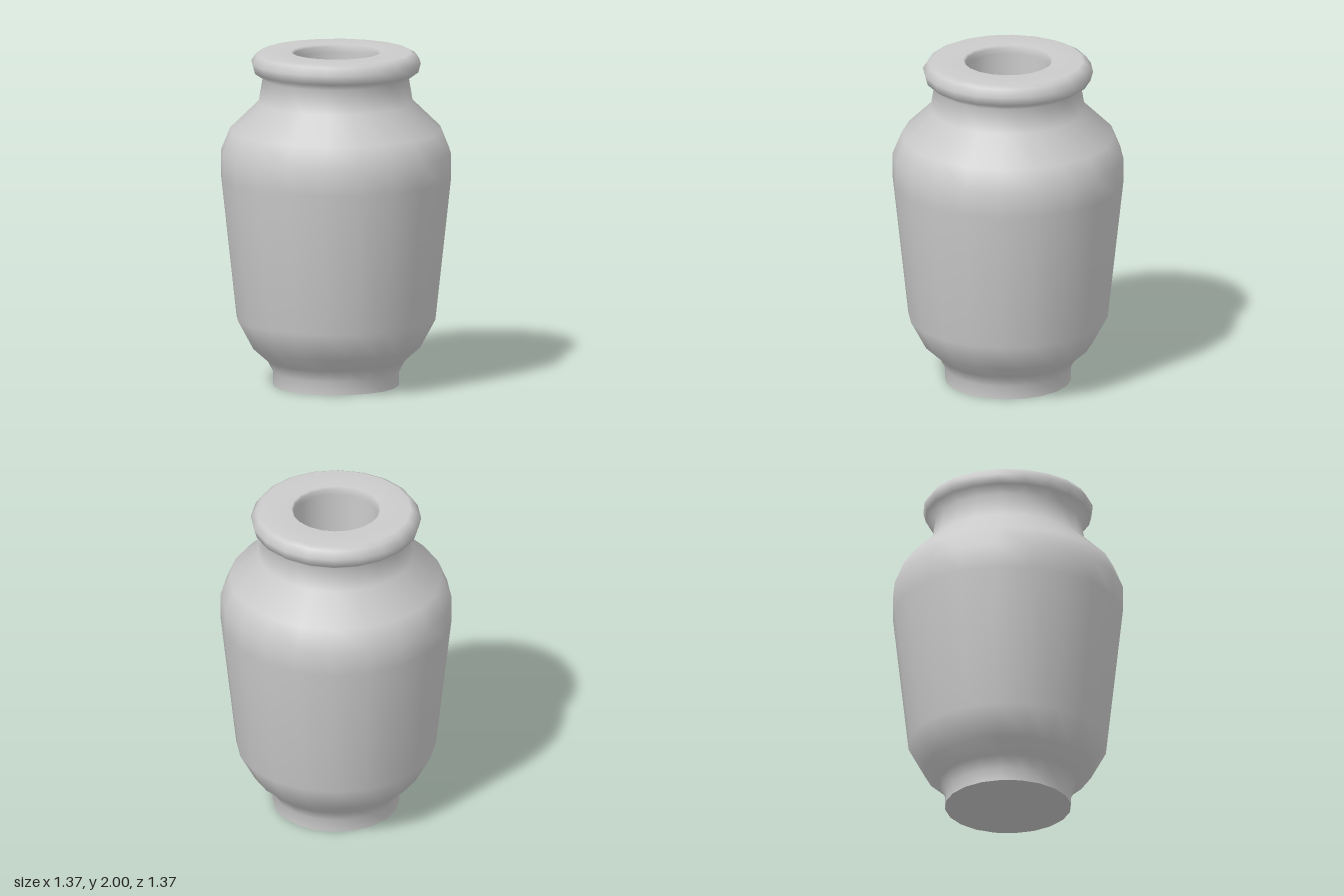
import * as THREE from 'three';

const SIDES = 20;

export function createModel() {
  const model = new THREE.Group();
  model.name = 'jar';
  const material = new THREE.MeshStandardMaterial({ color: 0xcccccc });

  const add = (name, geometry) => {
    const mesh = new THREE.Mesh(geometry, material);
    mesh.name = name;
    model.add(mesh);
    return mesh;
  };
  const lathe = (points) =>
    new THREE.LatheGeometry(points.map(([r, y]) => new THREE.Vector2(r, y)), SIDES);
  const disc = (name, radius, y, facing) => {
    const mesh = add(name, new THREE.CircleGeometry(radius, SIDES));
    mesh.rotation.x = -facing * Math.PI / 2;
    mesh.position.y = y;
  };

  // Foot, tapered body, shoulder, neck and rolled lip, up to the mouth
  add('body', lathe([
    [0.375, 0], [0.375, 0.08], [0.41, 0.15], [0.5, 0.23], [0.592, 0.4],
    [0.685, 1.25], [0.685, 1.4], [0.63, 1.535], [0.46, 1.7], [0.435, 1.845],
    [0.49, 1.885], [0.505, 1.94], [0.475, 1.985], [0.445, 2],
    [0.265, 2], [0.253, 1.985], [0.253, 1.95],
  ]));

  // Straight bore below the mouth, with its floor
  const floorY = 0.3;
  add('bore', lathe([[0.253, 1.95], [0.253, floorY]]));
  disc('boreFloor', 0.253, floorY, 1);

  // Flat underside of the foot
  disc('underside', 0.375, 0, -1);

  return model;
}
